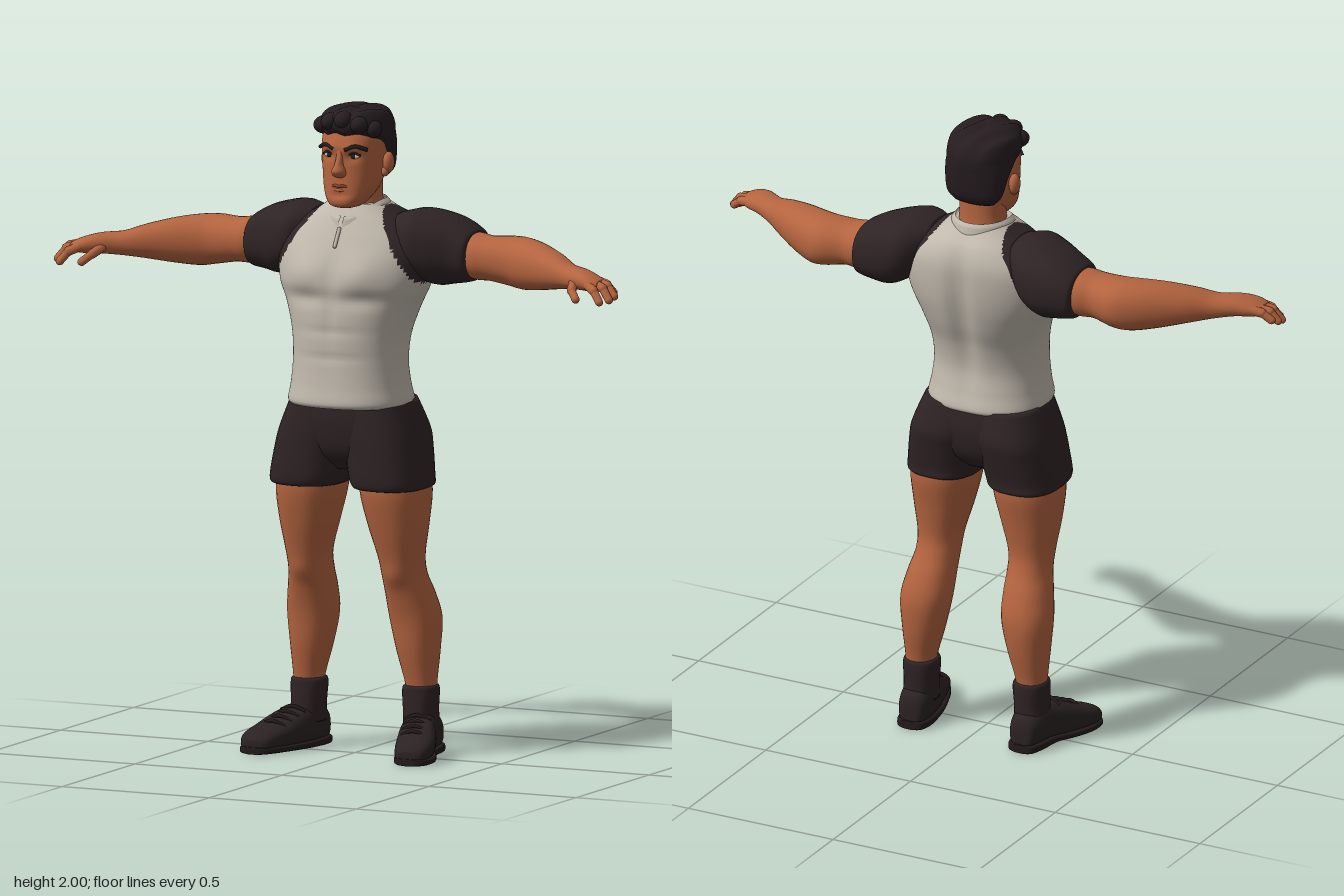
import * as THREE from 'three';
import { ParametricGeometry } from 'three/addons/geometries/ParametricGeometry.js';
import { mergeGeometries } from 'three/addons/utils/BufferGeometryUtils.js';

const material = (name, color, side = THREE.FrontSide) => {
  const m = new THREE.MeshStandardMaterial({ color, side });
  m.name = name;
  return m;
};

// Smooth loft. Each row is [t, uMin, uMax, vMin, vMax]; t runs along the axis,
// (u, v) are the next two axes in cyclic order x, y, z.
function loft(axis, rows, { seg = 32, sub = 5, power = 2.3, warp } = {}) {
  const pos = [], idx = [], row = i => rows[Math.min(Math.max(i, 0), rows.length - 1)];
  const levels = (rows.length - 1) * sub + 1;
  const push = (t, u, v) => {
    const a = [0, 0, 0];
    a[axis] = t; a[(axis + 1) % 3] = u; a[(axis + 2) % 3] = v;
    const p = new THREE.Vector3(...a);
    if (warp) warp(p);
    pos.push(p.x, p.y, p.z);
  };
  const bend = c => Math.sign(c) * Math.abs(c) ** (2 / power);
  const centres = [];
  for (let l = 0; l < levels; l++) {
    const i = Math.min(Math.floor(l / sub), rows.length - 2), f = l / sub - i;
    const s = row(i).map((b, k) => {
      const a = row(i - 1)[k], c = row(i + 1)[k], d = row(i + 2)[k];
      return b + 0.5 * f * (c - a + f * (2 * a - 5 * b + 4 * c - d + f * (3 * (b - c) + d - a)));
    });
    const cu = (s[1] + s[2]) / 2, cv = (s[3] + s[4]) / 2;
    centres.push([s[0], cu, cv]);
    for (let j = 0; j < seg; j++) {
      const q = j / seg * Math.PI * 2;
      push(s[0], cu + (s[2] - s[1]) / 2 * bend(Math.cos(q)), cv + (s[4] - s[3]) / 2 * bend(Math.sin(q)));
    }
  }
  const n = levels * seg;
  push(...centres[0]);
  push(...centres[levels - 1]);
  for (let j = 0; j < seg; j++) {
    const k = (j + 1) % seg, top = (levels - 1) * seg;
    for (let l = 0; l < levels - 1; l++) {
      const a = l * seg + j, b = l * seg + k;
      idx.push(a, b, b + seg, a, b + seg, a + seg);
    }
    idx.push(n, k, j, n + 1, top + j, top + k);
  }
  const g = new THREE.BufferGeometry();
  g.setAttribute('position', new THREE.Float32BufferAttribute(pos, 3));
  g.setIndex(idx);
  g.computeVertexNormals();
  return g;
}

// Vertical loft centred on x: rows are [y, halfWidth, zBack, zFront]
const upright = (rows, o) => loft(1, rows.map(([y, w, b, f]) => [y, b, f, -w, w]), o);
// Vertical loft beside the centre: rows are [y, xInner, xOuter, zBack, zFront]
const column = (rows, o) => loft(1, rows.map(([y, a, c, b, f]) => [y, b, f, a, c]), o);

function mirrored(g) {
  const m = g.clone().scale(-1, 1, 1), a = m.index.array;
  for (let i = 0; i < a.length; i += 3) [a[i], a[i + 1]] = [a[i + 1], a[i]];
  return m;
}

function capsule(a, b, r) {
  const p = new THREE.Vector3(...a), q = new THREE.Vector3(...b), d = q.clone().sub(p);
  const turn = new THREE.Quaternion().setFromUnitVectors(new THREE.Vector3(0, 1, 0), d.clone().normalize());
  const mid = p.add(q).multiplyScalar(0.5);
  return new THREE.CapsuleGeometry(r, d.length(), 5, 12).applyQuaternion(turn).translate(mid.x, mid.y, mid.z);
}

const ellipsoid = (x, y, z, rx, ry, rz) => new THREE.SphereGeometry(1, 24, 16).scale(rx, ry, rz).translate(x, y, z);
const tube = (pts, r) => new THREE.TubeGeometry(new THREE.CatmullRomCurve3(pts.map(p => new THREE.Vector3(...p))), 16, r, 8);
const bump = (d, w) => Math.exp(-(d * d) / (w * w));

export function createModel() {
  const group = new THREE.Group();
  const skin = material('skin', 0xb4643f), shirt = material('shirt cloth', 0xc0b8ac, THREE.DoubleSide);
  const dark = material('dark cloth', 0x2e2325), hair = material('hair', 0x261d20);
  const leather = material('shoe leather', 0x2b2223), sole = material('sole', 0x231b1c);
  const lip = material('lips', 0x8a4532), white = material('eye white', 0xd8cfc6);
  const add = (name, g, m) => {
    const mesh = new THREE.Mesh(g, m);
    mesh.name = name;
    group.add(mesh);
  };
  const pair = (name, g, m) => {
    add('left ' + name, g, m);
    add('right ' + name, mirrored(g), m);
  };

  // Shirt body with chest, stomach and spine shaping; raglan shoulders are dark
  const torso = upright([[1.085, 0.183, -0.138, 0.183], [1.1, 0.19, -0.148, 0.193], [1.15, 0.181, -0.135, 0.185],
    [1.22, 0.175, -0.125, 0.178], [1.3, 0.18, -0.14, 0.176], [1.38, 0.202, -0.17, 0.173], [1.46, 0.235, -0.19, 0.17],
    [1.54, 0.245, -0.198, 0.148], [1.6, 0.225, -0.195, 0.12], [1.65, 0.17, -0.175, 0.09], [1.68, 0.12, -0.14, 0.068],
    [1.7, 0.09, -0.115, 0.05]], { seg: 96, sub: 7, power: 2.35, warp: p => {
    const ax = Math.abs(p.x);
    if (p.z > 0.04) {
      p.z += 0.016 * bump(p.y - 1.5, 0.055) * bump(ax - 0.09, 0.065);
      p.z -= 0.012 * bump(p.y - 1.42, 0.025) * bump(ax - 0.09, 0.09);
      p.z -= 0.006 * bump(p.x, 0.015) * bump(p.y - 1.42, 0.14);
      p.z -= 0.004 * (bump(p.y - 1.32, 0.012) + bump(p.y - 1.24, 0.012)) * bump(p.x, 0.1);
    } else if (p.z < -0.05) p.z += 0.022 * bump(p.x, 0.035) * bump(p.y - 1.42, 0.2);
  } });
  const tp = torso.attributes.position, parts = [[], []], ti = torso.index.array;
  for (let i = 0; i < ti.length; i += 3) {
    const f = [ti[i], ti[i + 1], ti[i + 2]];
    const x = f.reduce((s, v) => s + Math.abs(tp.getX(v)), 0) / 3, y = f.reduce((s, v) => s + tp.getY(v), 0) / 3;
    parts[y > 1.43 && x > 0.11 + (1.675 - y) * 0.6 ? 1 : 0].push(...f);
  }
  torso.setIndex([...parts[0], ...parts[1]]);
  torso.addGroup(0, parts[0].length, 0);
  torso.addGroup(parts[0].length, parts[1].length, 1);
  add('shirt body', torso, [shirt, dark]);

  // Collar band, open at the front, dipping to a short V
  const fold = [[0.022, -0.035], [0.014, 0], [0.002, 0.014], [-0.01, -0.03]];
  add('collar', new ParametricGeometry((u, v, out) => {
    const a = 0.06 + u * (Math.PI * 2 - 0.12), c = Math.max(0, Math.cos(a));
    const k = Math.min(2, Math.floor(v * 3)), f = v * 3 - k;
    const r = fold[k][0] + (fold[k + 1][0] - fold[k][0]) * f, h = fold[k][1] + (fold[k + 1][1] - fold[k][1]) * f;
    out.set((0.083 + r) * Math.sin(a), 1.697 + h - 0.045 * c * c, -0.025 + (0.095 + r) * Math.cos(a) + 0.012 * c ** 4);
  }, 64, 6), shirt);
  add('placket', capsule([0, 1.63, 0.106], [0, 1.58, 0.138], 0.006), shirt);

  // Sleeves, arms and hands
  pair('sleeve', loft(0, [[0.14, 1.57, 1.672, -0.13, 0.03], [0.2, 1.49, 1.685, -0.192, 0.075], [0.26, 1.455, 1.677, -0.205, 0.06],
    [0.32, 1.46, 1.658, -0.2, 0.03], [0.365, 1.468, 1.632, -0.188, 0.018], [0.375, 1.478, 1.622, -0.176, 0.006]], { power: 2.4 }), dark);
  pair('arm', loft(0, [[0.3, 1.5, 1.62, -0.17, -0.02], [0.38, 1.476, 1.618, -0.165, 0], [0.43, 1.475, 1.612, -0.155, 0],
    [0.5, 1.463, 1.615, -0.17, 0.002], [0.55, 1.457, 1.614, -0.157, 0.016], [0.62, 1.465, 1.605, -0.115, 0.045],
    [0.7, 1.48, 1.585, -0.055, 0.08], [0.76, 1.49, 1.565, -0.002, 0.105], [0.82, 1.497, 1.56, 0.035, 0.143],
    [0.865, 1.498, 1.548, 0.058, 0.16], [0.895, 1.503, 1.535, 0.08, 0.15]], { power: 2.2 }), skin);
  const fingers = [
    [[0.865, 1.525, 0.075], [0.9, 1.518, 0.087], [0.928, 1.496, 0.096]],
    [[0.875, 1.525, 0.098], [0.915, 1.517, 0.11], [0.94, 1.488, 0.117]],
    [[0.875, 1.524, 0.123], [0.912, 1.513, 0.138], [0.937, 1.48, 0.147]],
    [[0.862, 1.522, 0.146], [0.893, 1.507, 0.163], [0.917, 1.476, 0.174]],
    [[0.8, 1.52, 0.115], [0.815, 1.503, 0.158], [0.84, 1.48, 0.18]]];
  pair('fingers', mergeGeometries(fingers.flatMap(([a, b, c]) => [capsule(a, b, 0.0145), capsule(b, c, 0.0125)])), skin);

  // Shorts
  add('shorts seat', upright([[0.885, 0.08, -0.08, 0.08], [0.94, 0.19, -0.13, 0.135], [1.03, 0.212, -0.148, 0.153],
    [1.11, 0.182, -0.135, 0.15]], { seg: 48, power: 2.4 }), dark);
  pair('shorts leg', column([[0.832, 0.035, 0.243, -0.115, 0.14], [0.84, 0.024, 0.253, -0.125, 0.15], [0.87, 0.014, 0.252, -0.127, 0.155],
    [0.95, 0.002, 0.238, -0.147, 0.155], [1.01, -0.01, 0.223, -0.157, 0.153], [1.1, -0.02, 0.186, -0.135, 0.145]], { power: 2.6 }), dark);

  // Legs with a kneecap
  pair('leg', column([[0.15, 0.15, 0.235, -0.12, -0.03], [0.22, 0.143, 0.237, -0.125, -0.02], [0.32, 0.117, 0.245, -0.145, 0],
    [0.42, 0.096, 0.252, -0.152, 0.014], [0.5, 0.093, 0.238, -0.13, 0.036], [0.56, 0.093, 0.224, -0.102, 0.056],
    [0.62, 0.088, 0.225, -0.088, 0.077], [0.72, 0.06, 0.24, -0.1, 0.105], [0.82, 0.037, 0.248, -0.118, 0.125],
    [0.9, 0.035, 0.235, -0.11, 0.12]], { power: 2.2, warp: p => {
    if (p.z > 0) p.z += 0.01 * bump(p.y - 0.56, 0.035) * bump(p.x - 0.16, 0.035);
  } }), skin);

  // Socks, shoes, soles and laces
  pair('sock', column([[0.08, 0.14, 0.245, -0.13, -0.01], [0.14, 0.139, 0.242, -0.13, -0.01], [0.19, 0.135, 0.244, -0.132, -0.012],
    [0.21, 0.137, 0.242, -0.13, -0.014], [0.215, 0.145, 0.235, -0.122, -0.022]]), dark);
  pair('shoe', loft(2, [[-0.152, 0.17, 0.215, 0.02, 0.075], [-0.142, 0.152, 0.232, 0.008, 0.108], [-0.1, 0.141, 0.246, 0.005, 0.132],
    [-0.04, 0.146, 0.258, 0.005, 0.134], [0.02, 0.16, 0.287, 0.005, 0.118], [0.08, 0.18, 0.31, 0.005, 0.09],
    [0.13, 0.2, 0.317, 0.005, 0.073], [0.16, 0.216, 0.308, 0.006, 0.058], [0.172, 0.235, 0.288, 0.015, 0.042]], { power: 2.5 }), leather);
  pair('sole', loft(2, [[-0.156, 0.17, 0.217, 0, 0.026], [-0.145, 0.148, 0.236, 0, 0.028], [-0.1, 0.139, 0.25, 0, 0.028],
    [-0.03, 0.148, 0.26, 0, 0.024], [0.03, 0.162, 0.293, 0, 0.022], [0.09, 0.182, 0.316, 0, 0.022],
    [0.14, 0.202, 0.319, 0, 0.022], [0.166, 0.22, 0.306, 0, 0.022], [0.176, 0.24, 0.286, 0, 0.022]], { power: 5 }), sole);
  pair('laces', mergeGeometries([0, 1, 2, 3].map(i => {
    const x = 0.212 + i * 0.009, y = 0.127 - i * 0.012, z = -0.005 + i * 0.027;
    return tube([[x - 0.042, y - 0.012, z], [x, y + 0.003, z + 0.008], [x + 0.042, y - 0.012, z - 0.005]], 0.006);
  })), sole);

  // Neck and head with brow, eye sockets and cheeks
  add('neck', upright([[1.6, 0.09, -0.12, 0.05], [1.66, 0.078, -0.108, 0.042], [1.72, 0.07, -0.1, 0.035], [1.78, 0.07, -0.1, 0.03]]), skin);
  add('head', upright([[1.692, 0.025, 0.04, 0.09], [1.7, 0.047, 0, 0.108], [1.72, 0.064, -0.03, 0.113], [1.75, 0.079, -0.07, 0.109],
    [1.79, 0.088, -0.1, 0.106], [1.83, 0.092, -0.115, 0.105], [1.87, 0.094, -0.125, 0.108], [1.91, 0.094, -0.125, 0.1],
    [1.95, 0.085, -0.11, 0.075], [1.98, 0.05, -0.06, 0.03]], { seg: 64, sub: 6, power: 2.4, warp: p => {
    if (p.z < 0.04) return;
    const ax = Math.abs(p.x);
    p.z -= 0.01 * bump(p.y - 1.853, 0.015) * bump(ax - 0.042, 0.022);
    p.z += 0.005 * bump(p.y - 1.88, 0.012) * bump(ax - 0.04, 0.035);
    p.z -= 0.005 * bump(p.y - 1.733, 0.01) * bump(p.x, 0.03);
  } }), skin);
  add('nose', upright([[1.788, 0.012, 0.09, 0.112], [1.796, 0.021, 0.085, 0.127], [1.81, 0.021, 0.085, 0.136],
    [1.83, 0.013, 0.085, 0.127], [1.855, 0.011, 0.085, 0.114], [1.875, 0.013, 0.085, 0.108]], { seg: 20, power: 2 }), skin);
  add('upper lip', tube([[-0.032, 1.758, 0.098], [-0.012, 1.763, 0.108], [0, 1.761, 0.11], [0.012, 1.763, 0.108], [0.032, 1.758, 0.098]], 0.0045), lip);
  add('lower lip', tube([[-0.024, 1.752, 0.101], [0, 1.749, 0.108], [0.024, 1.752, 0.101]], 0.005), skin);
  pair('ear', mergeGeometries([ellipsoid(0.104, 1.825, -0.022, 0.017, 0.033, 0.022), ellipsoid(0.097, 1.797, -0.012, 0.012, 0.015, 0.013)]), skin);
  pair('eye', ellipsoid(0.042, 1.854, 0.088, 0.017, 0.0085, 0.0075), white);
  pair('iris', ellipsoid(0.041, 1.854, 0.0925, 0.008, 0.008, 0.005), hair);
  pair('eyelid', tube([[0.023, 1.856, 0.096], [0.042, 1.865, 0.097], [0.063, 1.856, 0.086]], 0.0035), hair);
  pair('eyebrow', tube([[0.018, 1.874, 0.108], [0.05, 1.886, 0.1], [0.08, 1.874, 0.075]], 0.006), hair);

  // Short hair with soft waves and a swept front
  add('hair', upright([[1.772, 0.068, -0.112, -0.05], [1.8, 0.09, -0.13, -0.04], [1.85, 0.099, -0.14, -0.005], [1.89, 0.103, -0.145, 0.045],
    [1.912, 0.104, -0.147, 0.088], [1.94, 0.105, -0.145, 0.108], [1.97, 0.096, -0.13, 0.1], [1.988, 0.07, -0.095, 0.075],
    [1.995, 0.03, -0.04, 0.035]], { seg: 72, power: 2.4, warp: p => {
    if (p.y > 1.9) p.y += 0.005 * Math.sin(p.x * 95 + p.z * 35);
  } }), hair);
  const tufts = [[-0.075, 1.94, 0.055, -1], [-0.04, 1.955, 0.08, -0.5], [0.005, 1.962, 0.085, 0.3], [0.05, 1.95, 0.075, 0.6], [0.08, 1.935, 0.04, 1]];
  tufts.forEach(([x, y, z, lean], i) =>
    add('hair tuft ' + (i + 1), new THREE.SphereGeometry(1, 20, 14).scale(0.03, 0.028, 0.036).rotateY(lean * 0.6).translate(x, y, z), hair));
  return group;
}
